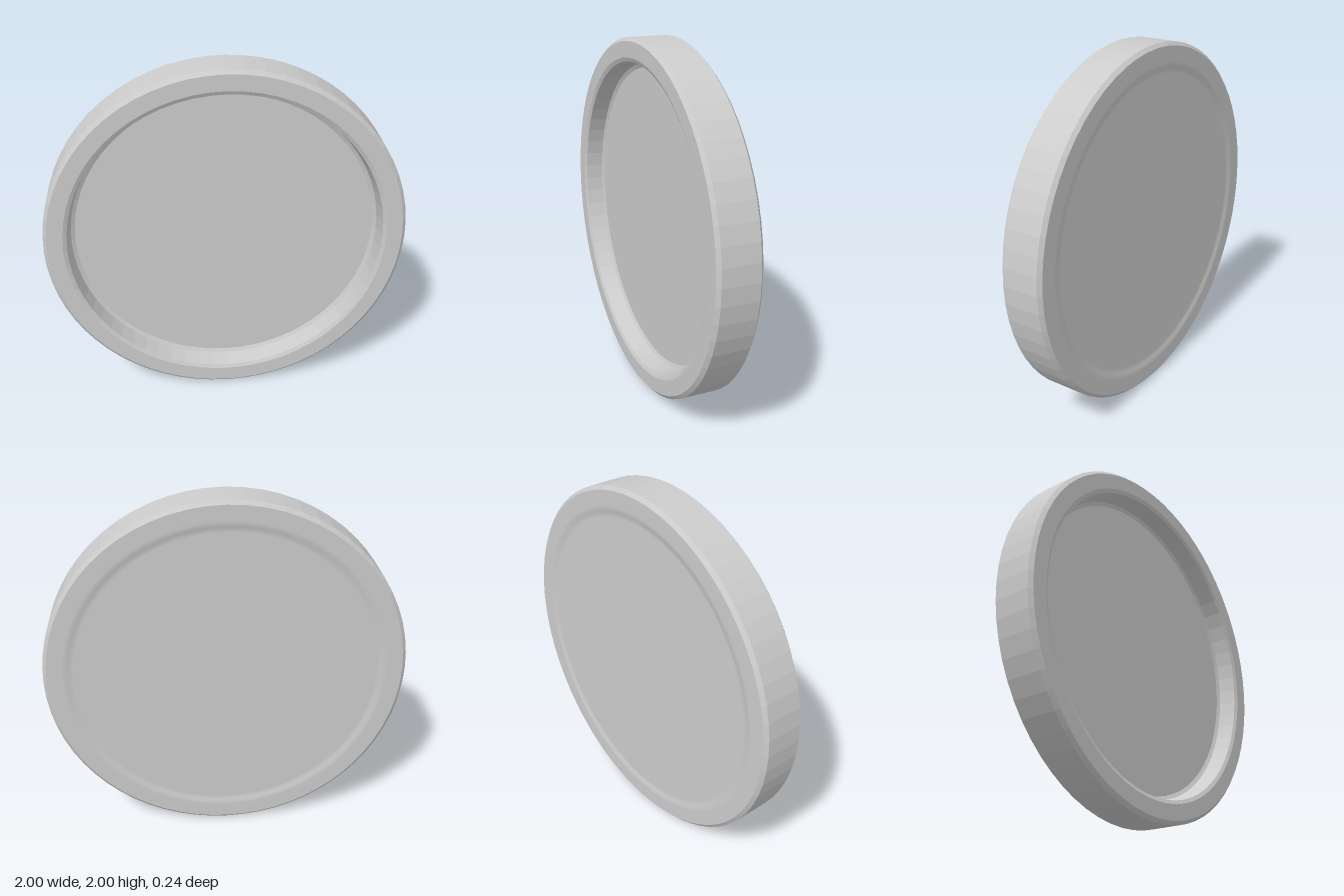
import * as THREE from 'three';

const SEGMENTS = 64;
const HALF = 0.122; // half of the thickness

// Turns a [radius, z] profile about the z axis, listed from the back to the front
function turned(name, profile, flatShading) {
  const geometry = new THREE.LatheGeometry(
    profile.map(([r, z]) => new THREE.Vector2(r, z)), SEGMENTS);
  geometry.rotateX(Math.PI / 2);
  const mesh = new THREE.Mesh(geometry,
    new THREE.MeshStandardMaterial({ color: 0xcccccc, flatShading }));
  mesh.name = name;
  return mesh;
}

export function createModel() {
  const lid = new THREE.Group();
  lid.name = 'roundLid';

  // Back face: a shallow recess with a soft step near the edge
  lid.add(turned('backFace', [
    [0, -HALF + 0.01], [0.835, -HALF + 0.01], [0.85, -HALF + 0.009],
    [0.865, -HALF + 0.005], [0.88, -HALF + 0.001], [0.895, -HALF], [0.98, -HALF],
  ], false));

  // Rim: chamfered outer wall, flat front ring and chamfered inner wall
  lid.add(turned('rim', [
    [0.98, -HALF], [1, -HALF + 0.018], [1, HALF - 0.018], [0.98, HALF],
    [0.893, HALF], [0.872, HALF - 0.01], [0.856, 0.017], [0.835, 0.006],
  ], true));

  // Sunken floor inside the rim
  lid.add(turned('floor', [[0.835, 0.006], [0, 0.006]], true));

  lid.position.y = 1;
  const model = new THREE.Group();
  model.add(lid);
  return model;
}
